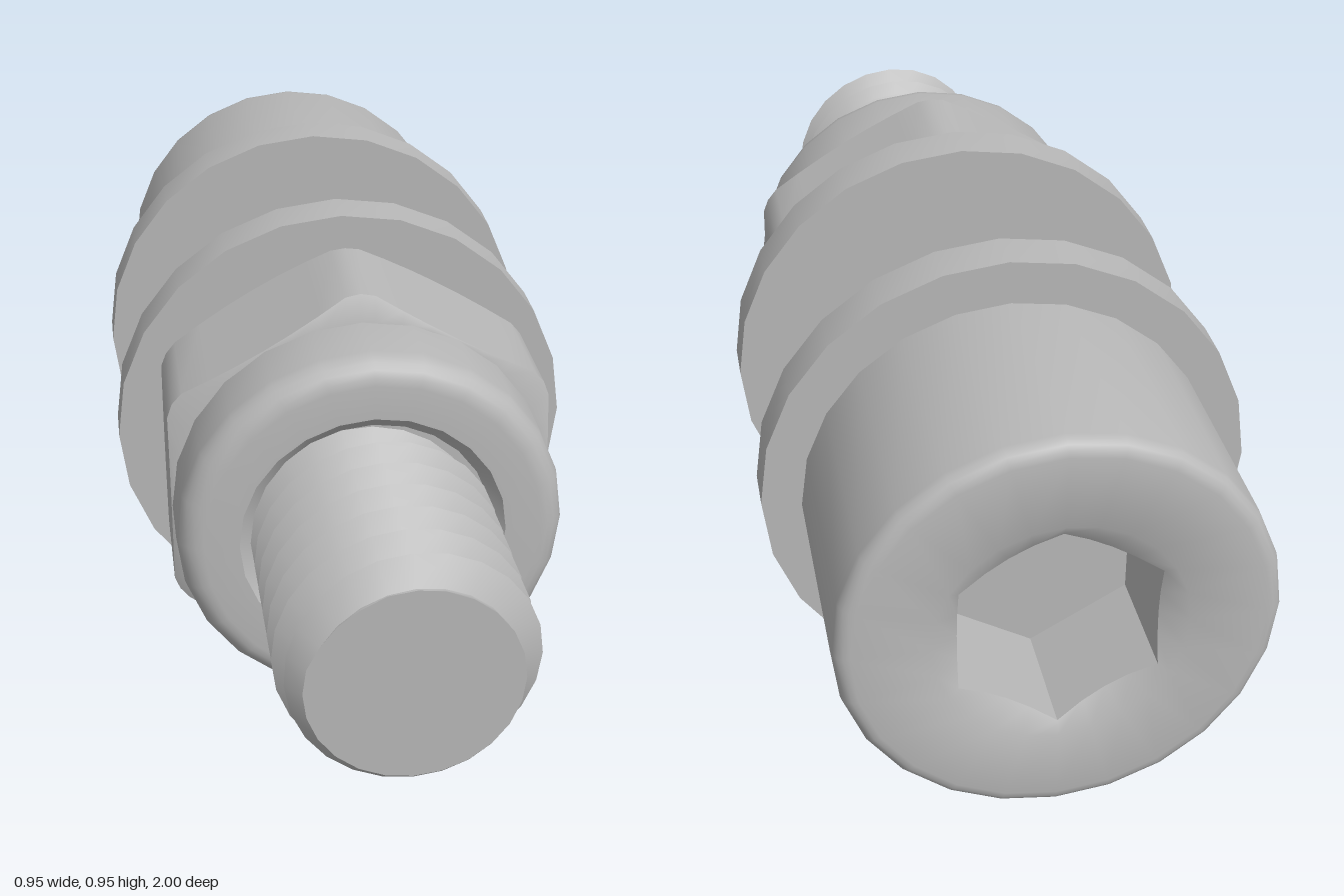
import * as THREE from 'three';
import { toCreasedNormals } from 'three/addons/utils/BufferGeometryUtils.js';

const TAU = Math.PI * 2, RAD = Math.PI / 180;
const AXIS_Y = 0.476;
const steel = new THREE.MeshStandardMaterial({ color: 0xb8b8b8 });
steel.name = 'steel';

const ROUND = Array.from({ length: 25 }, (_, i) => (i / 24) * TAU);

// Radius of a hexagon (flat towards +x) at angle t, from its half width across flats
function hexRadius(t, half) {
  const a = ((t % (TAU / 6)) + TAU / 6 + TAU / 12) % (TAU / 6) - TAU / 12;
  return half / Math.cos(a);
}

// Skin rings around the z axis; each ring is [radius, z] or a function of the angle
function loft(name, rings, angles = ROUND) {
  const at = (ring, t) => {
    const [r, z] = typeof ring === 'function' ? ring(t) : ring;
    return new THREE.Vector3(r * Math.cos(t), r * Math.sin(t), z);
  };
  const pos = [];
  const tri = (a, b, c) => {
    const area = b.clone().sub(a).cross(c.clone().sub(a)).length();
    if (area > 1e-9) pos.push(...a.toArray(), ...b.toArray(), ...c.toArray());
  };
  for (let i = 0; i < rings.length - 1; i++) {
    for (let j = 0; j < angles.length - 1; j++) {
      const a = at(rings[i], angles[j]), b = at(rings[i], angles[j + 1]);
      const c = at(rings[i + 1], angles[j + 1]), d = at(rings[i + 1], angles[j]);
      tri(a, b, c);
      tri(a, c, d);
    }
  }
  let geo = new THREE.BufferGeometry();
  geo.setAttribute('position', new THREE.Float32BufferAttribute(pos, 3));
  // Enlarged while creasing so that close vertices stay distinct
  geo.scale(50, 50, 50);
  geo = toCreasedNormals(geo, 32 * RAD);
  geo.scale(0.02, 0.02, 0.02);
  const mesh = new THREE.Mesh(geo, steel);
  mesh.name = name;
  return mesh;
}

// Quarter-round profile points from angle a0 to a1 (degrees) about (r, z)
function fillet(r, z, size, a0, a1, n = 4) {
  return Array.from({ length: n + 1 }, (_, i) => {
    const a = (a0 + ((a1 - a0) * i) / n) * RAD;
    return [r + size * Math.cos(a), z + size * Math.sin(a)];
  });
}

function washer(name, z0, z1) {
  return loft(name, [[0.25, z0], [0.476, z0], [0.476, z1], [0.25, z1], [0.25, z0]]);
}

// Right-handed helical thread with a chamfered, capped tip
function threadedShank() {
  const pitch = 0.077, start = -0.53, end = 1, crest = 0.238, root = 0.19;
  const steps = [[0, crest], [0.46, root], [0.54, root]];
  const profile = (f) => {
    const d = Math.min(f, 1 - f) / 0.46;
    return d >= 1 ? root : crest + (root - crest) * d;
  };
  const rings = [];
  for (let k = -22; k <= 15; k++) {
    for (const [f] of steps) {
      rings.push((t) => {
        const shift = t / TAU - 0.25;
        const z = THREE.MathUtils.clamp(0.952 + (k + f + shift) * pitch - 13 * pitch + 12 * pitch, start, end);
        const turn = (z - 0.952) / pitch - shift;
        const r = profile(turn - Math.floor(turn));
        return [Math.min(r, 0.195 + (end - z)), z];
      });
    }
  }
  rings.push([0, end]);
  return loft('threadedShank', rings);
}

// Cylindrical head with a chamfered hexagonal socket
function socketHead() {
  const half = 0.18, back = -1, floor = -0.76, mouth = 0.23;
  return loft('socketHead', [
    [0, floor],
    (t) => [hexRadius(t, half), floor],
    (t) => [hexRadius(t, half), back + (mouth - hexRadius(t, half)) * 0.6],
    [mouth, back],
    ...fillet(0.37, back + 0.03, 0.03, -90, 0),
    [0.4, -0.54], [0.385, -0.523], [0, -0.523],
  ]);
}

// Hexagonal nut body with corners turned down and both ends chamfered
function nutBody() {
  const angles = [0];
  for (let k = 0; k < 6; k++) {
    for (const a of [9, 18, 26, 30, 34, 42, 51, 60]) angles.push((k * 60 + a) * RAD);
  }
  const side = (t) => Math.min(hexRadius(t, 0.381), 0.428);
  return loft('nutBody', [
    [0.24, 0.045], [0.345, 0.045],
    (t) => [side(t), 0.045 + (side(t) - 0.345) / 1.5],
    (t) => [side(t), 0.35 - (side(t) - 0.375) * 0.5],
    [0.375, 0.35], [0.3, 0.35],
  ], angles);
}

// Rounded collar on the front of the nut, with a countersunk bore
function nutCollar() {
  return loft('nutCollar', [
    [0.379, 0.343],
    ...fillet(0.329, 0.47, 0.05, 0, 90, 5),
    [0.26, 0.52], [0.235, 0.495], [0.2, 0.495],
  ]);
}

export function createModel() {
  const group = new THREE.Group();
  group.name = 'boltAssembly';
  const nut = new THREE.Group();
  nut.name = 'lockNut';
  nut.add(nutBody(), nutCollar());
  group.add(
    threadedShank(),
    socketHead(),
    washer('headWasher', -0.523, -0.43),
    washer('nutWasher', -0.048, 0.046),
    nut,
  );
  for (const part of group.children) part.position.y = AXIS_Y;
  return group;
}
